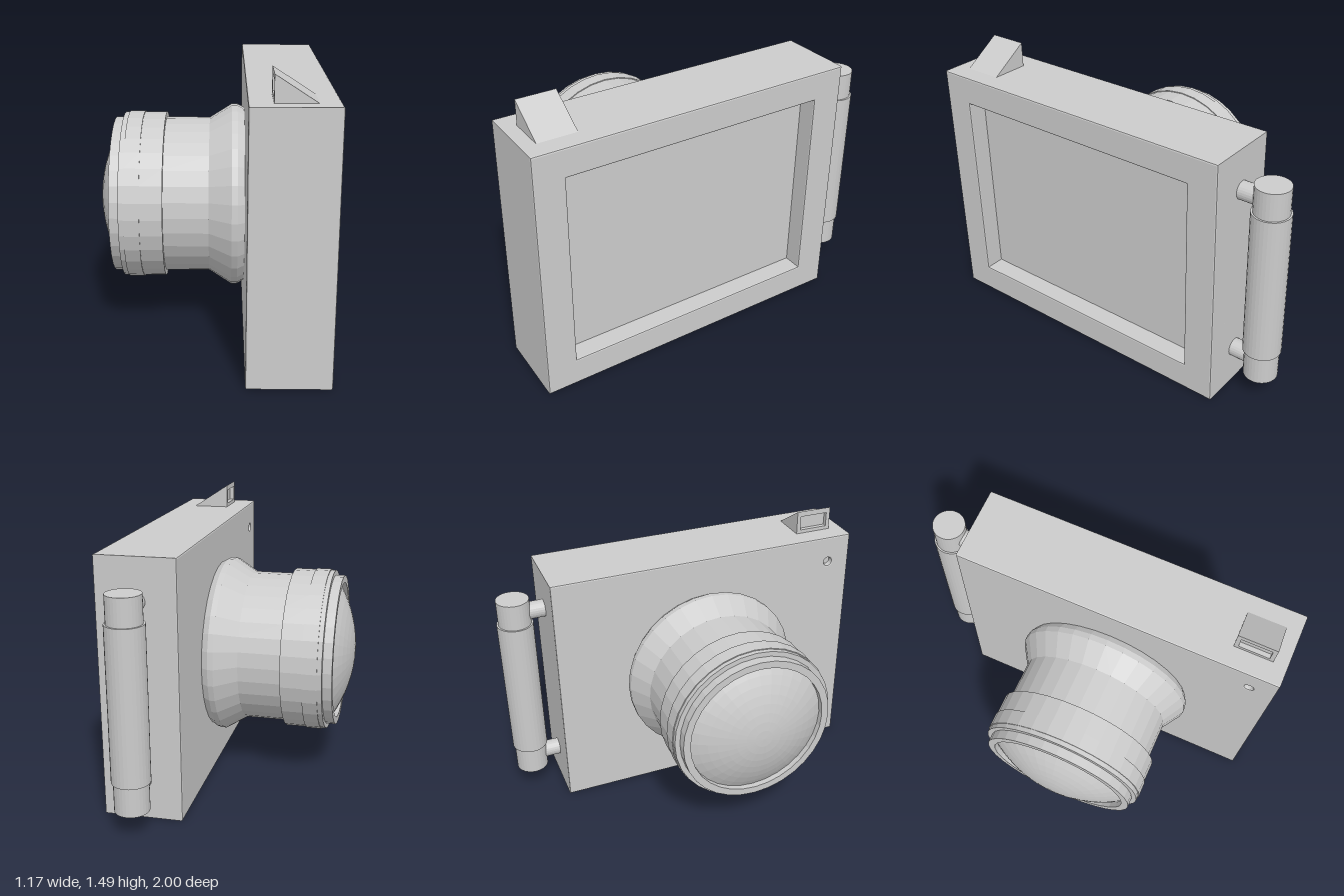
import * as THREE from 'three';

const mat = new THREE.MeshStandardMaterial({ color: 0xcccccc });
const faceted = new THREE.MeshStandardMaterial({ color: 0xcccccc, flatShading: true, side: THREE.DoubleSide });
const BEVEL = 0.008;

function add(parent, name, geometry, material = mat) {
  const mesh = new THREE.Mesh(geometry, material);
  mesh.name = name;
  parent.add(mesh);
  return mesh;
}

// Rectangle in the side plane; u runs along -z
function trace(path, z0, z1, y0, y1) {
  path.moveTo(-z1, y0);
  path.lineTo(-z0, y0);
  path.lineTo(-z0, y1);
  path.lineTo(-z1, y1);
  path.closePath();
  return path;
}

// Bevelled slab of the body outline between two x positions, with one hole
function slab(x0, x1, hole) {
  const shape = trace(new THREE.Shape(), -0.74, 1, 0, 1.355);
  shape.holes.push(hole);
  const g = new THREE.ExtrudeGeometry(shape, {
    depth: x1 - x0 - 2 * BEVEL, bevelThickness: BEVEL, bevelSize: BEVEL,
    bevelOffset: -BEVEL, bevelSegments: 2, curveSegments: 16,
  });
  return g.translate(0, 0, x0 + BEVEL).rotateY(Math.PI / 2);
}

// Profile in x and y, extruded from z0 to z1
function prism(points, z0, z1) {
  const shape = new THREE.Shape(points.map(([x, y]) => new THREE.Vector2(x, y)));
  return new THREE.ExtrudeGeometry(shape, { depth: z1 - z0, bevelEnabled: false }).translate(0, 0, z0);
}

// Turned profile of [x, radius] pairs around the lens axis
function turned(profile) {
  const pts = profile.map(([x, r]) => new THREE.Vector2(r, -x));
  return new THREE.LatheGeometry(pts, 32).rotateZ(Math.PI / 2).translate(0, 0.68, 0.125);
}

export function createModel() {
  const model = new THREE.Group();
  model.name = 'camera';

  // Body: rear block with a small sensor hole, front frame around the screen
  const body = new THREE.Group();
  body.name = 'body';
  model.add(body);
  const sensorHole = new THREE.Path().absarc(-0.87, 1.206, 0.024, 0, Math.PI * 2, true);
  add(body, 'bodyBlock', slab(0.17, 0.48, sensorHole));
  const sensor = add(body, 'sensor', new THREE.CylinderGeometry(0.026, 0.026, 0.02, 16).rotateZ(Math.PI / 2));
  sensor.position.set(0.21, 1.206, 0.87);
  add(body, 'screenFrame', slab(0.44, 0.583, trace(new THREE.Path(), -0.575, 0.84, 0.15, 1.205)));

  // Wedge on top with a recessed window facing the lens side
  const flash = new THREE.Group();
  flash.name = 'flash';
  model.add(flash);
  const wedge = [[0.283, 1.35], [0.49, 1.35], [0.283, 1.485]];
  add(flash, 'flashSide', prism(wedge, 0.72, 0.742));
  add(flash, 'flashSide', prism(wedge, 0.903, 0.925));
  add(flash, 'flashCentre', prism([
    [0.283, 1.35], [0.49, 1.35], [0.283, 1.485], [0.283, 1.455],
    [0.308, 1.455], [0.308, 1.375], [0.283, 1.375],
  ], 0.742, 0.903));

  // Lens barrel: flared base, tube, grip ring, rim and inner lip
  const lens = new THREE.Group();
  lens.name = 'lens';
  model.add(lens);
  add(lens, 'lensBarrel', turned([
    [0.18, 0.458], [0.165, 0.468], [0.135, 0.485], [0.105, 0.485], [-0.01, 0.413],
    [-0.24, 0.413], [-0.24, 0.441], [-0.355, 0.441], [-0.355, 0.446], [-0.435, 0.446],
    [-0.435, 0.441], [-0.46, 0.441], [-0.46, 0.414], [-0.51, 0.414], [-0.51, 0.375], [-0.46, 0.375],
  ]), faceted);

  // Domed glass
  const dome = [];
  const R = 0.695;
  for (let i = 0; i <= 8; i++) {
    const a = 0.57 * (1 - i / 8);
    dome.push([-0.588 + R * (1 - Math.cos(a)), R * Math.sin(a)]);
  }
  add(lens, 'lensGlass', turned(dome), faceted);

  // Side grip: bar with a thicker sleeve on two posts
  const grip = new THREE.Group();
  grip.name = 'grip';
  grip.position.set(0.375, 0, -0.9025);
  model.add(grip);
  const bar = (name, r, y0, y1) => {
    add(grip, name, new THREE.CylinderGeometry(r, r, y1 - y0, 32), faceted).position.y = (y0 + y1) / 2;
  };
  bar('gripBar', 0.088, 0.13, 1.22);
  bar('gripSleeve', 0.0975, 0.283, 1.078);
  for (const y of [0.211, 1.137]) {
    const post = add(grip, 'gripPost', new THREE.CylinderGeometry(0.047, 0.047, 0.18, 24).rotateX(Math.PI / 2), faceted);
    post.position.set(0, y, 0.09);
  }

  return model;
}
